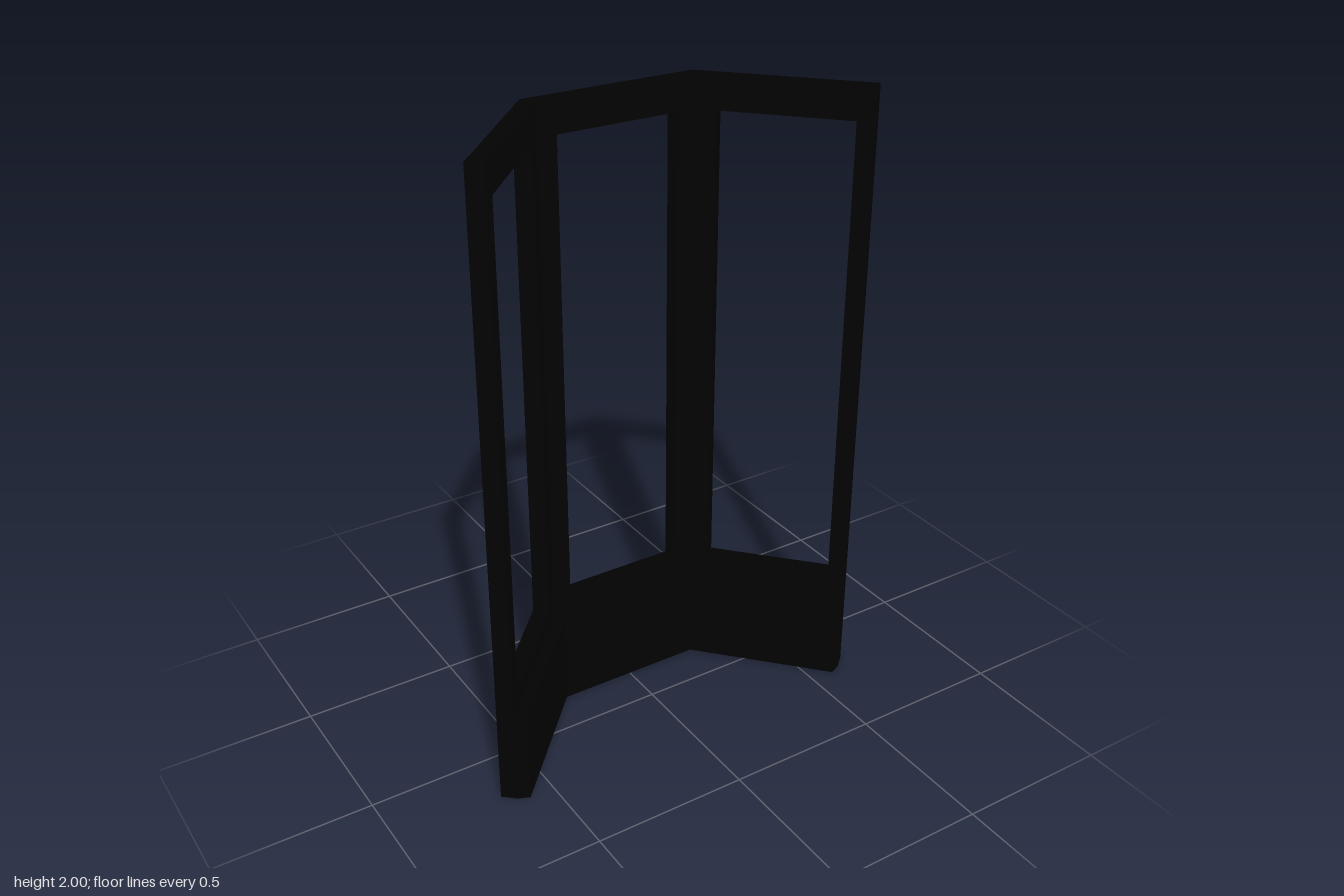
import * as THREE from 'three';

const material = new THREE.MeshStandardMaterial({ color: 0x020202 });

const BASE_TOP = 0.31, SILL = 0.37, HEAD = 1.9, TOP = 2;

// Upright prism from a plan outline of [x, z] points
function prism(name, plan, y0, y1) {
  const shape = new THREE.Shape(plan.map(([x, z]) => new THREE.Vector2(x, -z)));
  const geometry = new THREE.ExtrudeGeometry(shape, { depth: y1 - y0, bevelEnabled: false });
  geometry.rotateX(-Math.PI / 2).translate(0, y0, 0);
  const mesh = new THREE.Mesh(geometry, material);
  mesh.name = name;
  return mesh;
}

const mirror = (plan) => plan.map(([x, z]) => [-x, z]);

export function createModel() {
  const model = new THREE.Group();
  model.name = 'bayWindow';

  // Thick base wall following the three-sided bay, with chamfered ends
  const halfOuter = [[-0.655, 0.175], [-0.285, -0.23]];
  const halfInner = [[-0.245, -0.14], [-0.58, 0.225], [-0.615, 0.21]];
  const basePlan = [
    ...halfOuter,
    ...mirror(halfOuter).reverse(),
    ...mirror(halfInner).reverse(),
    ...halfInner,
  ];
  model.add(prism('baseWall', basePlan, 0, BASE_TOP));

  // Plan outlines of the thinner window frame
  const endPost = [[-0.655, 0.175], [-0.618, 0.135], [-0.579, 0.171], [-0.616, 0.21]];
  const cornerPost = [
    [-0.343, -0.166], [-0.285, -0.23], [-0.2, -0.23],
    [-0.2, -0.177], [-0.262, -0.177], [-0.304, -0.13],
  ];
  const sideRail = [[-0.618, 0.135], [-0.343, -0.166], [-0.304, -0.13], [-0.579, 0.171]];
  const centreRail = [[-0.2, -0.23], [0.2, -0.23], [0.2, -0.177], [-0.2, -0.177]];

  // Posts and side rails on both sides
  for (const side of ['right', 'left']) {
    const plan = (p) => (side === 'left' ? mirror(p) : p);
    model.add(
      prism(side + 'EndPost', plan(endPost), BASE_TOP, TOP),
      prism(side + 'CornerPost', plan(cornerPost), BASE_TOP, TOP),
      prism(side + 'SillRail', plan(sideRail), BASE_TOP, SILL),
      prism(side + 'HeadRail', plan(sideRail), HEAD, TOP),
    );
  }

  // Rails of the centre window
  model.add(
    prism('centreSillRail', centreRail, BASE_TOP, SILL),
    prism('centreHeadRail', centreRail, HEAD, TOP),
  );
  return model;
}
